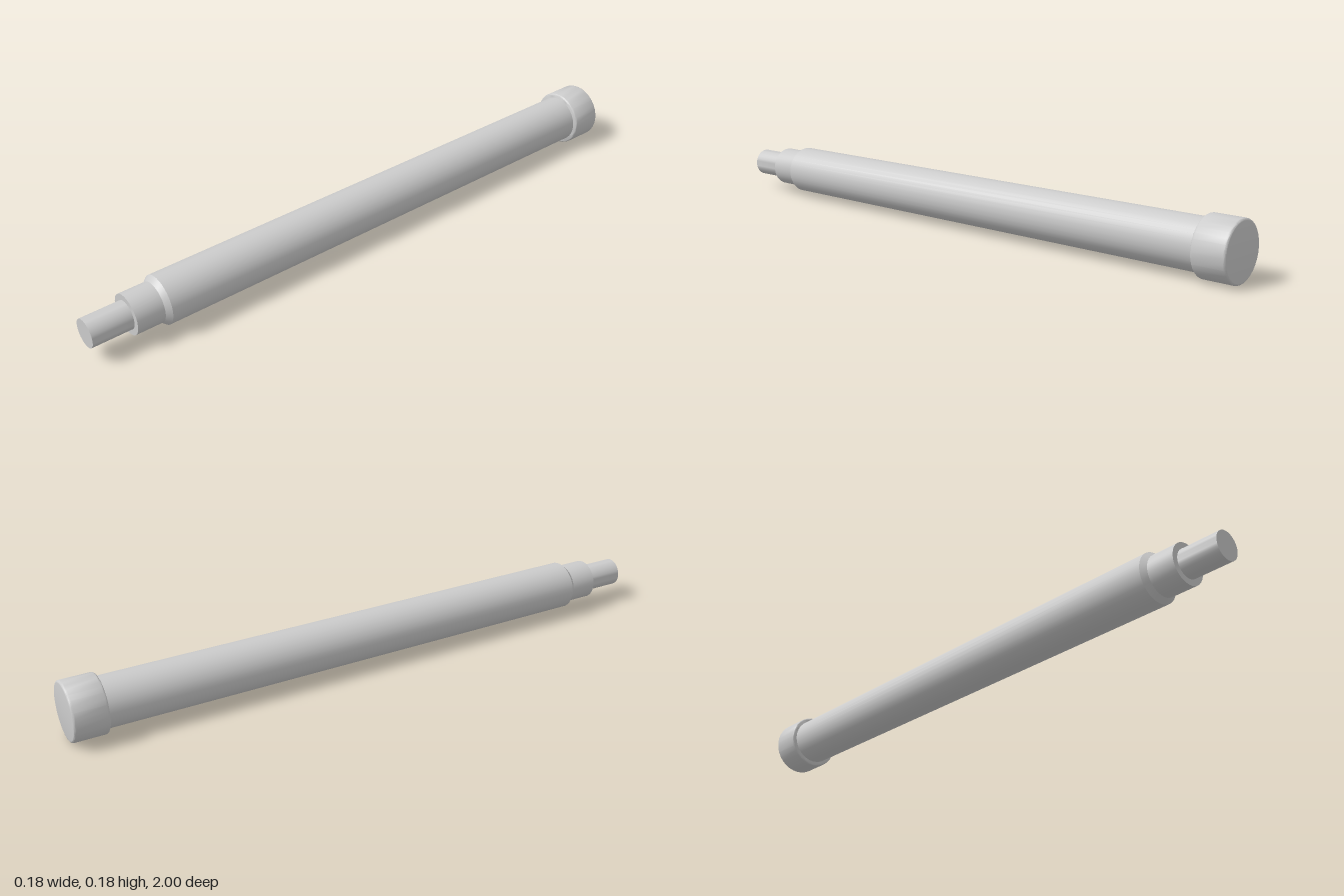
import * as THREE from 'three';
import { toCreasedNormals } from 'three/addons/utils/BufferGeometryUtils.js';

const SEGMENTS = 32;
const AXIS_HEIGHT = 0.092;

// Closed turned part along z; profile is [radius, z] from back to front
function turned(name, profile, material) {
  const points = profile.map(([r, z]) => new THREE.Vector2(r, z));
  const geometry = new THREE.LatheGeometry(points, SEGMENTS);
  geometry.rotateX(Math.PI / 2);
  const mesh = new THREE.Mesh(toCreasedNormals(geometry, 0.6), material);
  mesh.name = name;
  mesh.position.y = AXIS_HEIGHT;
  return mesh;
}

// Quarter-round edge points between two angles around a centre
function roundEdge(r, z, radius, from, to, steps = 4) {
  return Array.from({ length: steps + 1 }, (_, i) => {
    const a = from + ((to - from) * i) / steps;
    return [r + Math.cos(a) * radius, z + Math.sin(a) * radius];
  });
}

export function createModel() {
  const group = new THREE.Group();
  group.name = 'steppedRod';
  const material = new THREE.MeshStandardMaterial({ color: 0xcccccc });

  // End cap with softly rounded rims
  const e = 0.007;
  group.add(turned('endCap', [
    [0, -1],
    ...roundEdge(0.092 - e, -1 + e, e, -Math.PI / 2, 0),
    ...roundEdge(0.092 - e, -0.893 - e, e, 0, Math.PI / 2),
    [0, -0.893],
  ], material));

  // Main tube with a chamfered front end
  group.add(turned('mainTube', [
    [0, -0.91], [0.078, -0.91], [0.078, 0.765], [0.064, 0.781], [0, 0.781],
  ], material));

  // Collar stepping down from the tube
  group.add(turned('collar', [
    [0, 0.75], [0.064, 0.75], [0.064, 0.87], [0, 0.87],
  ], material));

  // Front pin
  group.add(turned('pin', [
    [0, 0.85], [0.045, 0.85], [0.045, 1], [0, 1],
  ], material));

  return group;
}
